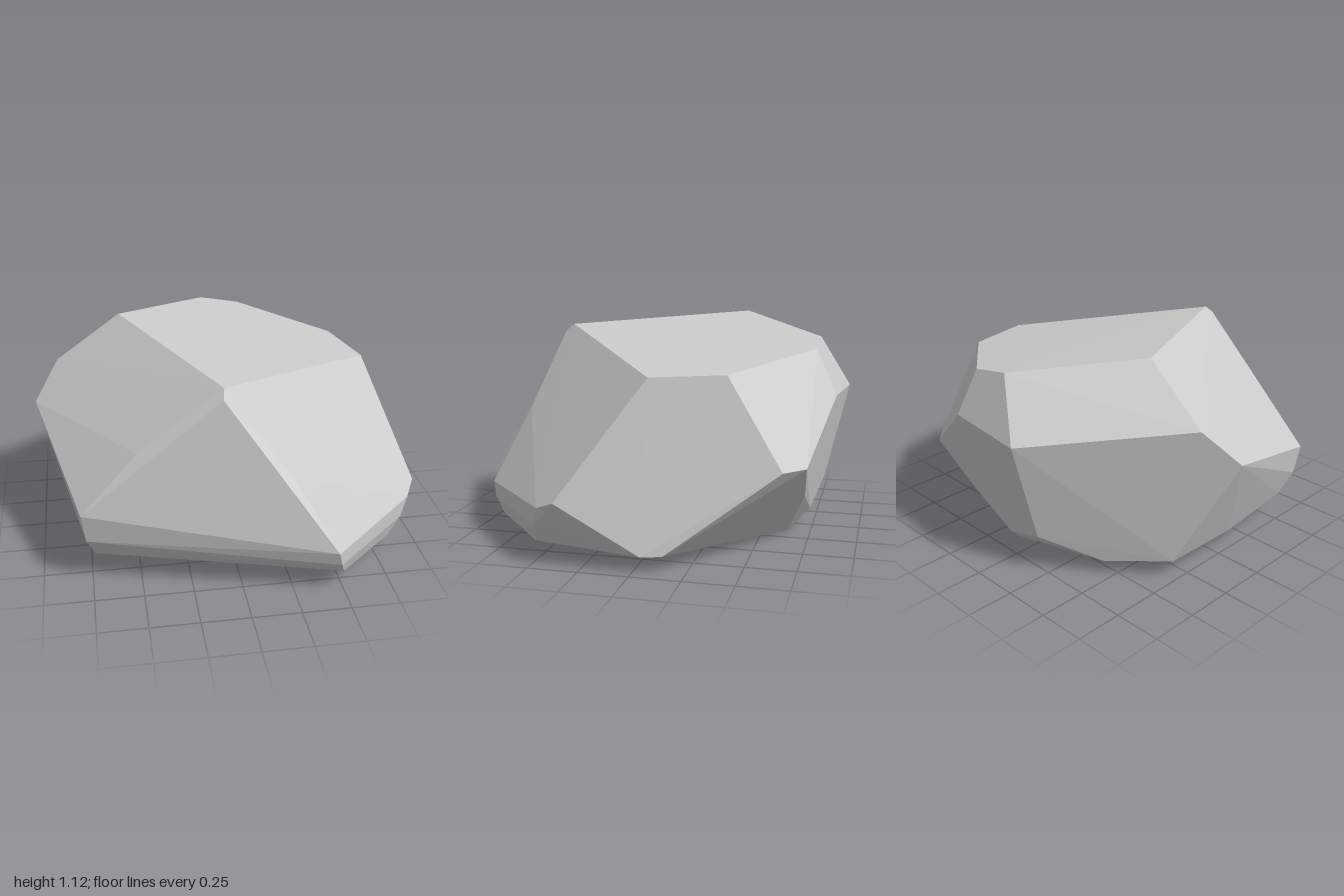
import * as THREE from 'three';
import { ConvexGeometry } from 'three/addons/geometries/ConvexGeometry.js';

// Corners of the boulder, ring by ring from the top down
const crown = [
  [-0.52, 1.12, -0.30], [-0.08, 1.06, 0.63], [-0.09, 1.02, 0.68],
  [0.79, 0.90, -0.04], [0.70, 0.91, -0.40], [0.22, 0.99, -0.77], [0, 1.03, -0.77],
];
const shoulder = [
  [-0.87, 0.86, -0.33], [-1, 0.68, -0.18], [-0.50, 0.73, 0.60], [0.24, 0.63, 0.77],
  [-0.21, 0.75, -0.915], [0.26, 0.76, -0.875], [0.61, 0.46, -0.77], [0.72, 0.46, -0.67],
];
const waist = [
  [-0.79, 0.42, 0.63], [0.45, 0.26, 0.91], [0.94, 0.28, 0.47], [1, 0.325, 0.365],
  [-0.77, 0.26, 0.61], [0.47, 0.18, 0.89], [0.90, 0.18, 0.50],
  [-0.225, 0.22, -0.79], [0.36, 0.26, -0.74],
];
const base = [
  [-0.73, 0.14, 0.54], [-0.12, 0.145, 0.65], [0.50, 0.10, 0.83], [0.83, 0.08, 0.52],
  [0.95, 0.08, -0.04], [0.92, 0.08, -0.14], [0.50, 0.07, -0.43],
  [-0.73, 0.09, 0.11], [-0.73, 0.10, -0.34], [-0.46, 0.08, -0.56], [0.05, 0.11, -0.74],
  [-0.36, 0.02, 0.15], [0.12, 0, -0.63], [0.45, 0.01, -0.09], [0.70, 0.01, -0.08],
];

export function createModel() {
  const group = new THREE.Group();
  group.name = 'rock';

  // Faceted stone spanned between the corners
  const corners = [...crown, ...shoulder, ...waist, ...base].map((c) => new THREE.Vector3(...c));
  const material = new THREE.MeshStandardMaterial({ color: 0xcccccc, flatShading: true });
  const boulder = new THREE.Mesh(new ConvexGeometry(corners), material);
  boulder.name = 'boulder';
  group.add(boulder);

  return group;
}
